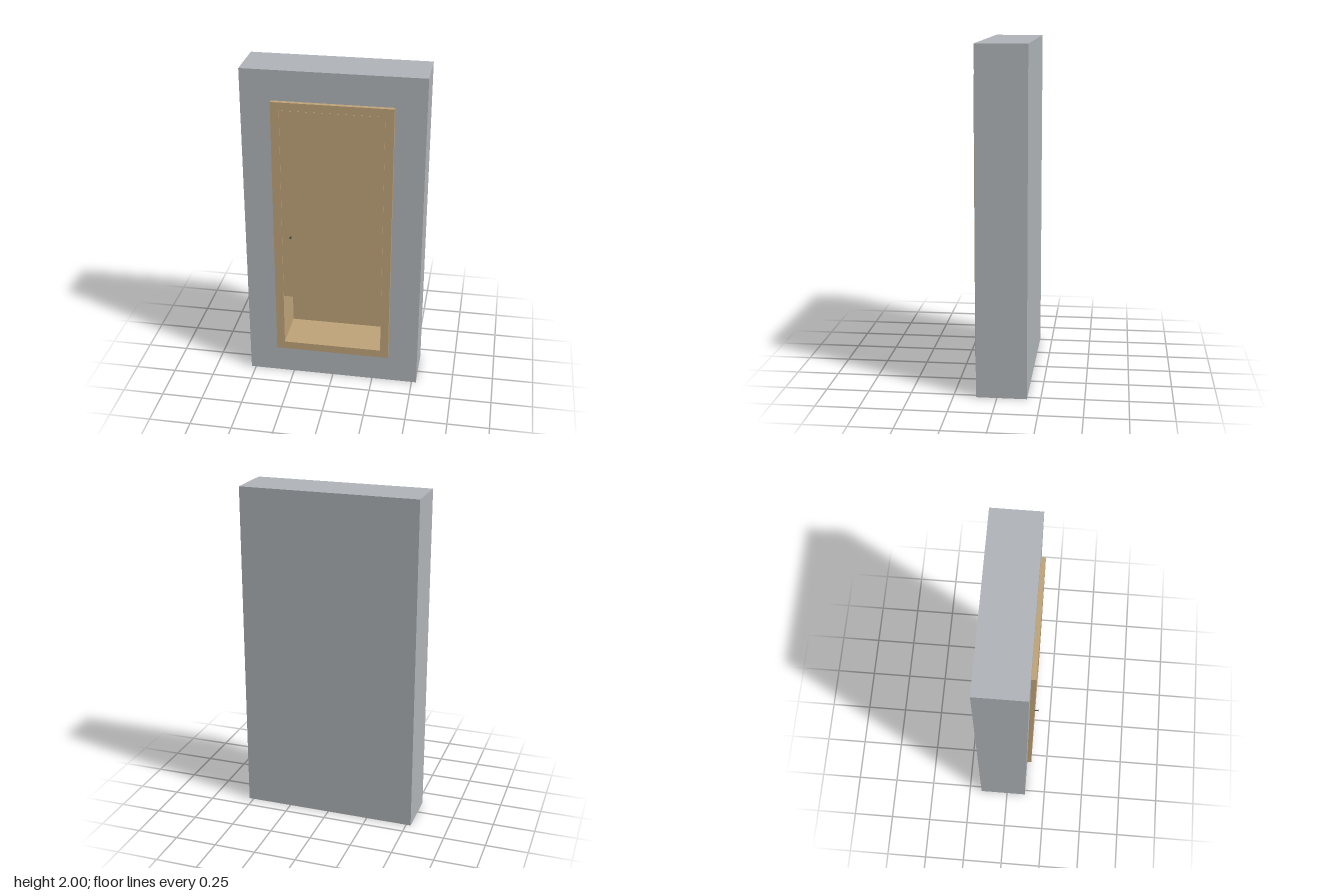
import * as THREE from 'three';

const wallGrey = new THREE.MeshStandardMaterial({ color: 0xb0b5b9 });
wallGrey.name = 'wallGrey';
const wood = new THREE.MeshStandardMaterial({ color: 0xbfa378 });
wood.name = 'wood';
const darkMetal = new THREE.MeshStandardMaterial({ color: 0x4a4a4a });
darkMetal.name = 'darkMetal';

function add(parent, name, geometry, material, x = 0, y = 0, z = 0) {
  const mesh = new THREE.Mesh(geometry, material);
  mesh.name = name;
  mesh.position.set(x, y, z);
  parent.add(mesh);
  return mesh;
}

// Rectangular panel with a rectangular hole, given as [x half width, bottom, top]
function ring([ow, ob, ot], [iw, ib, it], depth) {
  const trace = (path, w, b, t) =>
    path.moveTo(-w, b).lineTo(w, b).lineTo(w, t).lineTo(-w, t).closePath();
  const shape = trace(new THREE.Shape(), ow, ob, ot);
  shape.holes.push(trace(new THREE.Path(), iw, ib, it));
  return new THREE.ExtrudeGeometry(shape, { depth, bevelEnabled: false });
}

export function createModel() {
  const model = new THREE.Group();
  model.name = 'wallCabinet';

  const wallFront = 0.12, wallBack = -0.172, nicheBack = -0.12, frameFront = 0.147;
  const opening = [0.3, 0.232, 1.775];
  const liner = [0.315, 0.217, 1.79];

  // Wall with its recess, closed at the back
  const slab = 0.03;
  add(model, 'wall', ring([0.528, 0, 2], liner, wallFront - wallBack - slab), wallGrey, 0, 0, wallBack + slab);
  add(model, 'wallBack', new THREE.BoxGeometry(1.056, 2, slab), wallGrey, 0, 1, wallBack + slab / 2);

  // Wooden lining of the recess
  add(model, 'cabinetLining', ring(liner, opening, wallFront - nicheBack), wood, 0, 0, nicheBack);
  add(model, 'cabinetBack', new THREE.BoxGeometry(0.63, 1.573, 0.02), wood, 0, 1.0035, nicheBack - 0.01);

  // Raised frame around the opening
  add(model, 'frame', ring([0.35, 0.183, 1.822], opening, frameFront - wallFront), wood, 0, 0, wallFront);

  // Door above the open compartment
  const doorBottom = 0.567, doorTop = 1.774, doorDepth = 0.025, doorFront = 0.146;
  add(model, 'door', new THREE.BoxGeometry(0.598, doorTop - doorBottom, doorDepth), wood,
    0, (doorTop + doorBottom) / 2, doorFront - doorDepth / 2);

  // Small knob
  const knob = new THREE.Group();
  knob.name = 'knob';
  knob.position.set(-0.245, 0.984, doorFront);
  model.add(knob);
  const stem = add(knob, 'knobStem', new THREE.CylinderGeometry(0.003, 0.003, 0.02, 12), darkMetal, 0, 0, 0.01);
  const cap = add(knob, 'knobCap', new THREE.CylinderGeometry(0.006, 0.006, 0.004, 16), darkMetal, 0, 0, 0.021);
  stem.rotation.x = cap.rotation.x = Math.PI / 2;

  return model;
}
